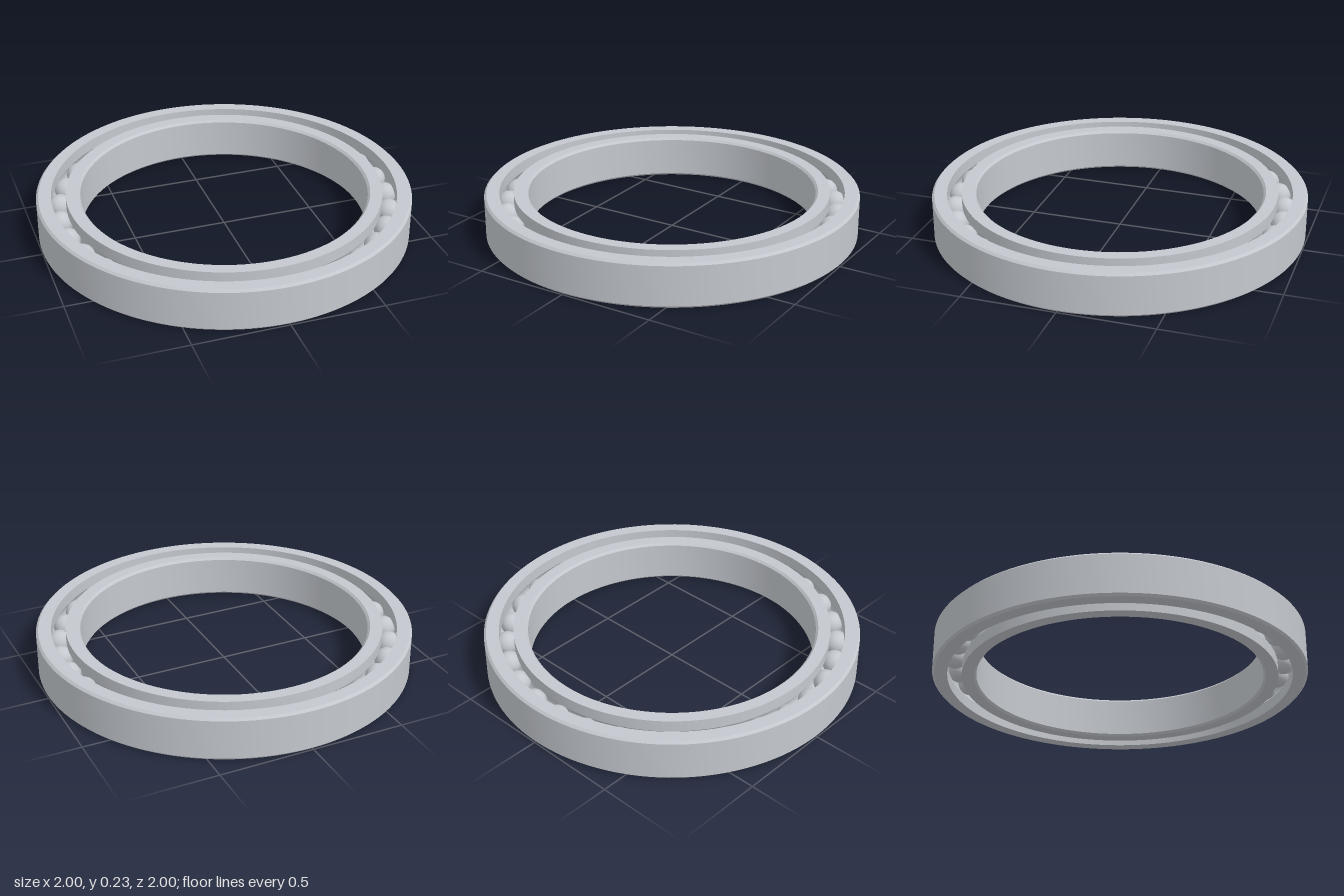
import * as THREE from 'three';
import { toCreasedNormals } from 'three/addons/utils/BufferGeometryUtils.js';

const HEIGHT = 0.233, MID = HEIGHT / 2, CHAMFER = 0.012;
const PITCH = 0.882, BALL_R = 0.064, GROOVE_R = 0.066, BALLS = 31;

// Raceway groove: arc from the ring face at radius r, side = 1 outer ring, -1 inner ring
function groove(r, side) {
  const half = Math.acos(Math.abs(r - PITCH) / GROOVE_R);
  const pts = [];
  for (let i = 0; i <= 10; i++) {
    const a = half - (2 * half * i) / 10;
    pts.push([PITCH + side * GROOVE_R * Math.cos(a), MID + side * GROOVE_R * Math.sin(a)]);
  }
  return pts;
}

// Closed profile revolved into a ring with crisp edges
function ring(name, profile, material) {
  const pts = [...profile, profile[0]].map(([x, y]) => new THREE.Vector2(x, y));
  const geometry = toCreasedNormals(new THREE.LatheGeometry(pts, 128), 0.5);
  const mesh = new THREE.Mesh(geometry, material);
  mesh.name = name;
  return mesh;
}

export function createModel() {
  const group = new THREE.Group();
  group.name = 'ballBearing';
  const steel = new THREE.MeshStandardMaterial({ color: 0xc4c8ce });
  steel.name = 'steel';

  // Outer ring: chamfered outside, grooved bore
  const outerBore = 0.92;
  group.add(ring('outerRing', [
    [1 - CHAMFER, 0], [1, CHAMFER], [1, HEIGHT - CHAMFER], [1 - CHAMFER, HEIGHT],
    [outerBore, HEIGHT], ...groove(outerBore, 1), [outerBore, 0],
  ], steel));

  // Inner ring: chamfered bore, grooved outside
  const bore = 0.767, shoulder = 0.844;
  group.add(ring('innerRing', [
    [shoulder, 0], ...groove(shoulder, -1), [shoulder, HEIGHT],
    [bore + CHAMFER, HEIGHT], [bore, HEIGHT - CHAMFER], [bore, CHAMFER], [bore + CHAMFER, 0],
  ], steel));

  // Balls spaced evenly around the raceway
  const balls = new THREE.Group();
  balls.name = 'balls';
  const ballGeometry = new THREE.SphereGeometry(BALL_R, 32, 20);
  for (let i = 0; i < BALLS; i++) {
    const a = (i / BALLS) * Math.PI * 2;
    const ball = new THREE.Mesh(ballGeometry, steel);
    ball.name = 'ball';
    ball.position.set(PITCH * Math.cos(a), MID, PITCH * Math.sin(a));
    balls.add(ball);
  }
  group.add(balls);
  return group;
}
